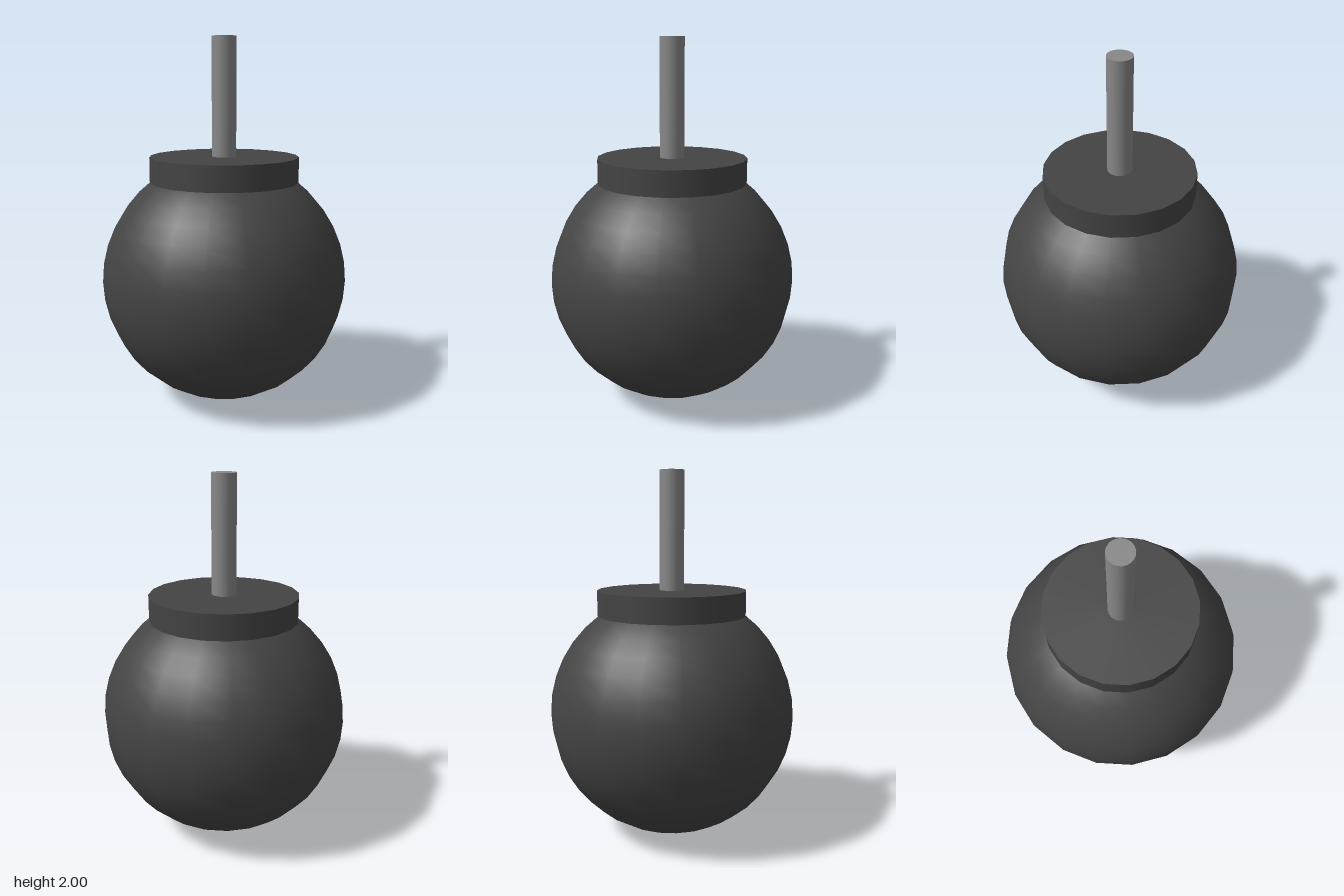
import * as THREE from 'three';

const SIDES = 20;

export function createModel() {
  const group = new THREE.Group();
  const dark = new THREE.MeshStandardMaterial({ color: 0x444444 });
  const light = new THREE.MeshStandardMaterial({ color: 0x888888 });

  const add = (name, geometry, material, y) => {
    const mesh = new THREE.Mesh(geometry, material);
    mesh.name = name;
    mesh.position.y = y;
    group.add(mesh);
  };
  // upright cylinder between two heights
  const addCylinder = (name, radius, bottom, top, material) =>
    add(name, new THREE.CylinderGeometry(radius, radius, top - bottom, SIDES), material, (bottom + top) / 2);

  // round body
  add('body', new THREE.SphereGeometry(0.677, SIDES, SIDES), dark, 0.677);
  // flat collar sitting on the body
  addCylinder('collar', 0.409, 1.222, 1.36, dark);
  // thin stem rising from the collar
  addCylinder('stem', 0.067, 1.34, 2, light);

  return group;
}
